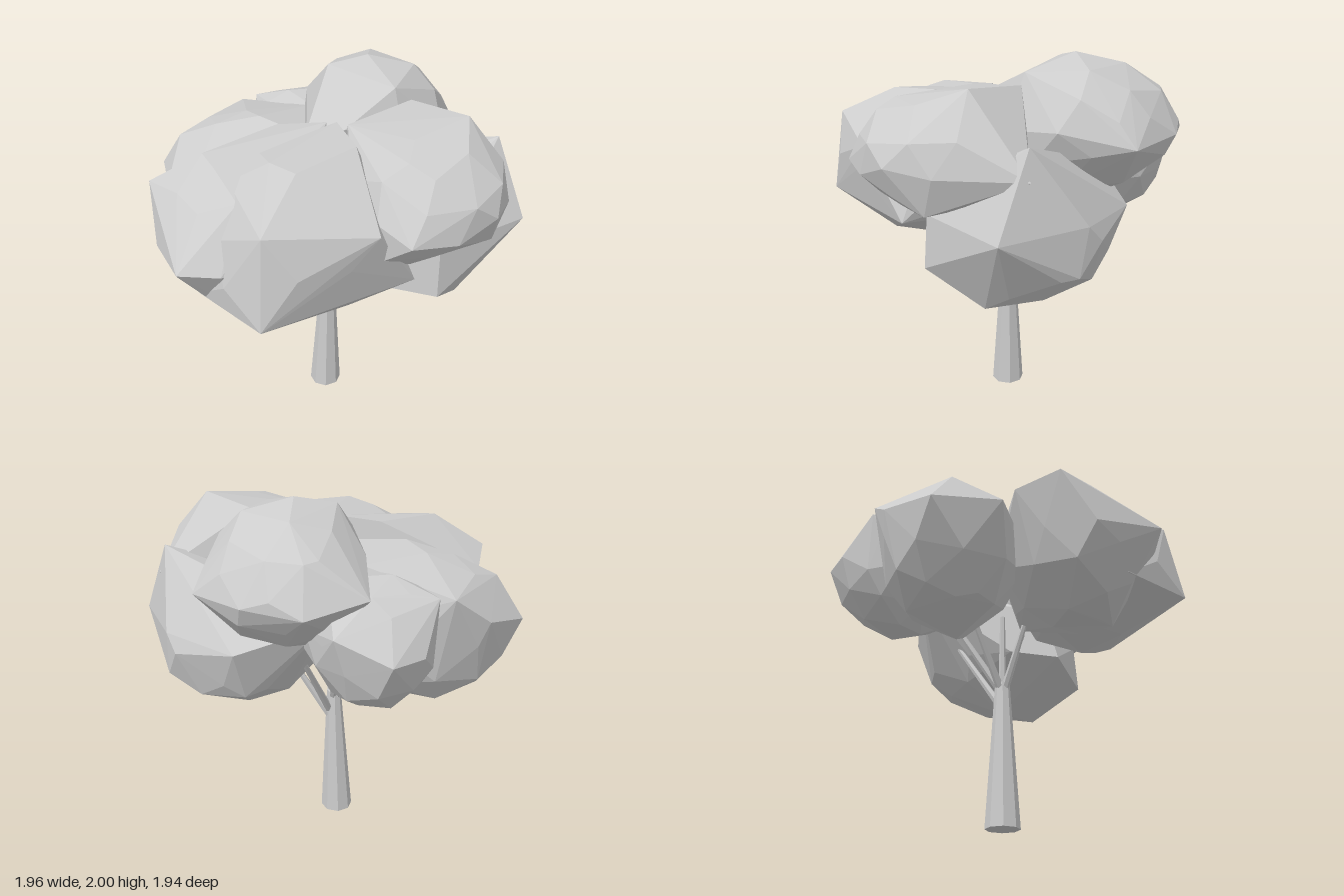
import * as THREE from 'three';
import { ConvexGeometry } from 'three/addons/geometries/ConvexGeometry.js';

// Small seeded generator for the uneven foliage
function seeded(seed) {
  let s = seed;
  return () => (s = (s * 16807) % 2147483647) / 2147483647;
}

// Faceted leaf clump: a jittered icosphere fitted in a box, stretched over a few corner points
function clumpGeometry(min, max, corners, seed) {
  const rand = seeded(seed * 7919 + 13);
  const lo = new THREE.Vector3(...min), hi = new THREE.Vector3(...max);
  const centre = lo.clone().add(hi).multiplyScalar(0.5);
  const radius = hi.clone().sub(lo).multiplyScalar(0.5);
  const pos = new THREE.IcosahedronGeometry(1, 1).attributes.position;
  const turn = new THREE.Euler(rand() * 6, rand() * 6, rand() * 6);
  const seen = new Set(), points = [];
  for (let i = 0; i < pos.count; i++) {
    const p = new THREE.Vector3().fromBufferAttribute(pos, i);
    const key = p.toArray().map((v) => Math.round(v * 100)).join();
    if (seen.has(key)) continue;
    seen.add(key);
    p.x += (rand() - 0.5) * 0.2;
    p.y += (rand() - 0.5) * 0.2;
    p.z += (rand() - 0.5) * 0.2;
    p.normalize().applyEuler(turn).multiplyScalar(0.96 + rand() * 0.06);
    points.push(p.multiply(radius).add(centre).clamp(lo, hi));
  }
  corners.forEach((c) => points.push(new THREE.Vector3(...c)));
  return new ConvexGeometry(points);
}

// Tapered limb between two points
function limb(from, to, r0, r1, sides, material) {
  const a = new THREE.Vector3(...from), b = new THREE.Vector3(...to);
  const dir = b.clone().sub(a);
  const mesh = new THREE.Mesh(new THREE.CylinderGeometry(r1, r0, dir.length(), sides), material);
  mesh.position.copy(a).add(b).multiplyScalar(0.5);
  mesh.quaternion.setFromUnitVectors(new THREE.Vector3(0, 1, 0), dir.normalize());
  return mesh;
}

export function createModel() {
  const tree = new THREE.Group();
  tree.name = 'tree';
  const grey = new THREE.MeshStandardMaterial({ color: 0xcccccc, flatShading: true });
  grey.name = 'light grey';

  // Trunk, with a level foot
  const trunkGeo = new THREE.CylinderGeometry(0.04, 0.092, 0.8, 8);
  trunkGeo.translate(0, 0.4, 0);
  const p = trunkGeo.attributes.position;
  for (let i = 0; i < p.count; i++) p.setX(i, p.getX(i) - 0.068 + p.getY(i) * 0.025);
  const trunk = new THREE.Mesh(trunkGeo, grey);
  trunk.name = 'trunk';
  tree.add(trunk);

  // Branches fanning into the crown
  const branches = new THREE.Group();
  branches.name = 'branches';
  [
    [[-0.02, 0.64, 0.0], [0.22, 1.04, 0.02]],
    [[-0.02, 0.68, -0.01], [0.14, 1.1, -0.25]],
    [[-0.06, 0.76, 0.01], [-0.22, 1.1, 0.12]],
    [[-0.06, 0.76, -0.01], [-0.22, 1.1, -0.16]],
    [[-0.045, 0.76, 0.0], [-0.07, 1.2, 0.0]],
    [[-0.04, 0.76, 0.01], [0.04, 1.15, 0.12]],
    [[-0.04, 0.76, -0.01], [-0.05, 1.2, -0.3]],
  ].forEach(([from, to]) => branches.add(limb(from, to, 0.022, 0.014, 6, grey)));
  tree.add(branches);

  // Leaf clumps: box minimum, box maximum, prominent corners
  const clumps = {
    frontClump: [[-0.66, 0.97, 0.02], [0.26, 1.77, 0.88],
      [[-0.37, 1.18, 0.97], [0.36, 1.19, 0.6], [-0.35, 1.63, 0.9], [0.17, 1.55, 0.78],
        [0.08, 1.81, 0.4], [-0.69, 1.14, 0.6], [0.0, 1.8, 0.1], [-0.54, 1.5, 0.55],
        [-0.2, 1.42, 0.92], [-0.38, 1.74, 0.3], [-0.2, 1.78, 0.6], [-0.54, 1.3, 0.79]]],
    frontLeftClump: [[0.02, 1.28, -0.04], [0.82, 1.87, 0.8],
      [[0.62, 1.9, 0.28], [0.3, 1.52, 0.84], [0.74, 1.35, 0.5], [0.79, 1.7, 0.35],
        [0.18, 1.38, 0.72], [0.52, 1.5, 0.78], [0.88, 1.53, 0.04], [0.38, 1.87, 0.0],
        [0.05, 1.83, 0.2], [0.33, 1.28, 0.6], [0.3, 1.82, 0.6]]],
    lowLeftClump: [[0.04, 0.82, -0.46], [0.9, 1.55, 0.44],
      [[0.98, 1.28, 0.2], [0.36, 0.78, 0.0], [0.65, 0.83, 0.22], [0.84, 1.68, 0.04],
        [0.5, 1.0, 0.5], [0.5, 1.28, 0.48], [0.45, 1.0, -0.42], [0.5, 1.28, -0.52],
        [0.84, 1.3, -0.24], [0.85, 1.05, -0.2], [0.05, 1.4, -0.48], [0.0, 1.02, 0.05],
        [0.02, 1.0, 0.32]]],
    topClump: [[-0.19, 1.3, -0.84], [0.62, 1.97, 0.1],
      [[0.18, 2.0, -0.31], [-0.03, 1.96, -0.28], [0.43, 1.94, -0.32], [0.18, 1.6, -0.89],
        [0.67, 1.6, -0.5], [0.45, 1.62, -0.77], [0.1, 1.82, -0.74], [0.04, 1.78, 0.15],
        [0.3, 1.92, -0.03], [-0.12, 1.65, -0.8], [-0.15, 1.75, 0.08], [-0.17, 1.4, 0.0]]],
    backRightClump: [[-0.94, 0.92, -0.66], [-0.06, 1.7, 0.1],
      [[-0.98, 1.36, -0.37], [-0.39, 0.9, -0.25], [-0.73, 0.96, -0.25],
        [-0.53, 1.6, -0.7], [-0.73, 1.45, -0.62], [-0.9, 1.4, -0.03], [-0.1, 1.68, 0.05],
        [-0.1, 1.05, -0.22], [-0.14, 1.68, -0.4], [-0.4, 1.73, -0.15],
        [-0.85, 1.57, -0.28]]],
    backClump: [[-0.48, 1.03, -0.92], [0.16, 1.72, -0.22],
      [[-0.2, 1.4, -0.97], [-0.36, 1.4, -0.88], [-0.2, 1.02, -0.45], [0.05, 1.5, -0.87],
        [-0.15, 1.22, -0.9], [-0.45, 1.62, -0.72], [0.1, 1.25, -0.25]]],
    frontRightClump: [[-0.9, 0.94, -0.06], [-0.06, 1.74, 0.72],
      [[-0.93, 1.57, 0.25], [-0.9, 1.3, 0.42], [-0.75, 1.36, 0.77], [-0.55, 1.35, 0.78],
        [-0.65, 1.74, 0.3], [-0.05, 1.8, 0.1], [-0.3, 1.77, 0.05], [-0.1, 1.1, 0.1],
        [-0.85, 1.5, 0.03], [-0.45, 0.96, 0.55]]],
  };
  Object.entries(clumps).forEach(([name, [min, max, corners]], i) => {
    const mesh = new THREE.Mesh(clumpGeometry(min, max, corners, i + 1), grey);
    mesh.name = name;
    tree.add(mesh);
  });

  return tree;
}
